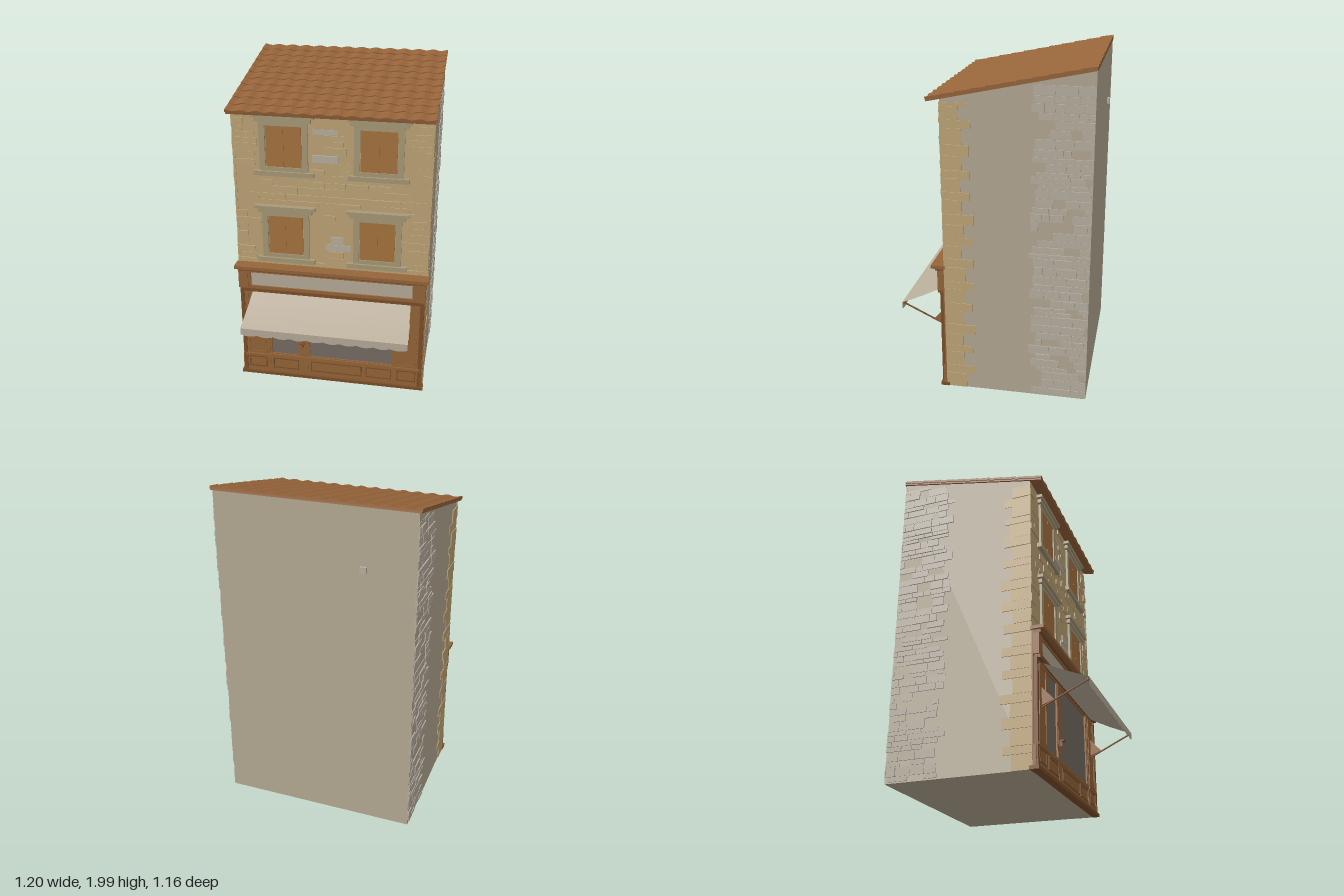
import * as THREE from 'three';
import { mergeGeometries } from 'three/addons/utils/BufferGeometryUtils.js';

const material = (name, color, side = THREE.FrontSide) => {
  const m = new THREE.MeshStandardMaterial({ color, side });
  m.name = name;
  return m;
};

// Small seeded generator for the irregular stonework
let seed = 7;
const rand = (a = 0, b = 1) => {
  seed = (seed * 16807) % 2147483647;
  return a + (b - a) * seed / 2147483647;
};

const boxGeo = (x0, x1, y0, y1, z0, z1) =>
  new THREE.BoxGeometry(x1 - x0, y1 - y0, z1 - z0)
    .translate((x0 + x1) / 2, (y0 + y1) / 2, (z0 + z1) / 2);

export function createModel() {
  const model = new THREE.Group();
  model.name = 'shopHouse';

  const sand = material('sandStone', 0xbfa678);
  const trim = material('windowStone', 0xa99a78);
  const stucco = material('stucco', 0xb5a994);
  const pale = material('paleStone', 0xb9b0a1);
  const wood = material('shopWood', 0x956539);
  const darkWood = material('darkWood', 0x7c4f2a);
  const shutterWood = material('shutterWood', 0xa8743f);
  const glass = material('glass', 0x776d64);
  const canvas = material('canvas', 0xb9ad9a, THREE.DoubleSide);
  const tile = material('roofTile', 0x96643a);

  const add = (name, geo, mat, parent = model) => {
    const mesh = new THREE.Mesh(geo, mat);
    mesh.name = name;
    parent.add(mesh);
    return mesh;
  };
  const box = (name, mat, ...b) => add(name, boxGeo(...b), mat);
  const frame = (name, mat, x0, x1, y0, y1, t, z0, z1) => add(name, mergeGeometries([
    boxGeo(x0, x0 + t, y0, y1, z0, z1), boxGeo(x1 - t, x1, y0, y1, z0, z1),
    boxGeo(x0 + t, x1 - t, y0, y0 + t, z0, z1), boxGeo(x0 + t, x1 - t, y1 - t, y1, z0, z1)]), mat);

  // House body: side outline with a single pitch, extruded across x
  const slope = 0.212, roofY = z => 1.775 + (0.36 - z) * slope;
  const side = new THREE.Shape();
  side.moveTo(-0.275, 0).lineTo(0.565, 0).lineTo(0.565, roofY(-0.565)).lineTo(-0.275, roofY(0.275));
  const body = new THREE.ExtrudeGeometry(side, { depth: 1.17, bevelEnabled: false })
    .rotateY(Math.PI / 2).translate(-0.585, 0, 0);
  add('body', body, stucco);
  box('frontWall', sand, -0.587, 0.587, 0, roofY(0.281) - 0.002, 0.27, 0.281);

  // Windows on two floors
  const windows = [];
  for (const y of [0.85, 1.415]) for (const x of [-0.28, 0.28]) {
    windows.push([x - 0.15, x + 0.15, y, y + 0.33]);
    frame('windowSurround', trim, x - 0.145, x + 0.145, y, y + 0.32, 0.035, 0.275, 0.295);
    for (const s of [-1, 1]) {
      const c = x + s * 0.053;
      box('shutter', shutterWood, c - 0.0525, c + 0.0525, y + 0.02, y + 0.285, 0.275, 0.289);
    }
    box('sill', trim, x - 0.18, x + 0.18, y - 0.018, y + 0.01, 0.275, 0.308);
    box('lintelLower', trim, x - 0.165, x + 0.165, y + 0.31, y + 0.335, 0.275, 0.304);
    box('lintelUpper', trim, x - 0.185, x + 0.185, y + 0.335, y + 0.355, 0.275, 0.316);
  }

  // Front masonry: irregular courses that stop at the windows
  const frontStones = [], greyStones = [];
  for (let y = 0.81; y < 1.75;) {
    const h = Math.min(rand(0.03, 0.055), 1.775 - y);
    for (let x = -0.59; x < 0.588;) {
      const x1 = Math.min(0.59, x + rand(0.06, 0.17));
      const blocked = windows.some(w => x < w[1] && x1 > w[0] && y < w[3] && y + h > w[2]);
      const middle = Math.abs((x + x1) / 2) < 0.11 && ((y > 0.86 && y < 1.2) || (y > 1.42 && y < 1.66));
      if (!blocked && rand() > 0.25) {
        const g = boxGeo(x + 0.002, x1 - 0.002, y + rand(0.001, 0.004), y + h - 0.002, 0.272, rand(0.283, 0.29));
        (middle && rand() < 0.35 ? greyStones : frontStones).push(g);
      }
      x = x1;
    }
    y += h;
  }
  add('frontStones', mergeGeometries(frontStones), sand);
  add('greyFrontStones', mergeGeometries(greyStones), pale);

  // Toothed corner stones at the front and rough masonry at the back of both sides
  const quoins = [], roughStones = [];
  for (const s of [-1, 1]) {
    const slab = (y0, y1, z0, z1, t) => boxGeo(s > 0 ? 0.575 : -t, s > 0 ? t : -0.575, y0, y1, z0, z1);
    for (let y = 0, i = 0; y < 1.76; i++) {
      const y1 = Math.min(1.775, y + (i % 2 ? 0.055 : 0.085) + rand(-0.01, 0.01));
      quoins.push(slab(y, y1 - 0.002, i % 2 ? rand(0.1, 0.125) : rand(0.155, 0.18), 0.285, rand(0.588, 0.592)));
      y = y1;
    }
    for (let y = 0.005; y < 1.94;) {
      const h = rand(0.025, 0.06);
      const start = rand(-0.27, -0.215);
      for (let z = start; z > -0.56;) {
        const z0 = Math.max(-0.568, z - rand(0.04, 0.13));
        if (rand() > 0.18 && y + h < roofY(z) - 0.005)
          roughStones.push(slab(y + 0.003, y + h - 0.002, z0 + 0.003, z, rand(0.587, 0.593)));
        z = z0;
      }
      y += h;
    }
  }
  add('cornerStones', mergeGeometries(quoins), sand);
  add('sideStones', mergeGeometries(roughStones), pale);

  // Small chipped stone on the back wall
  box('backStone', pale, -0.31, -0.27, 1.61, 1.645, -0.58, -0.56);

  // Roof: sloping deck with overlapping rows of wavy tiles
  const angle = Math.atan(slope);
  const roof = new THREE.Group();
  roof.name = 'roof';
  roof.position.set(0, 1.775, 0.355);
  roof.rotation.x = angle;
  model.add(roof);
  const length = 0.925 / Math.cos(angle);
  add('roofDeck', boxGeo(-0.595, 0.595, 0, 0.012, -length, 0), tile, roof);
  const rows = 11, pitch = length / rows;
  for (let r = 0; r < rows; r++) {
    const wave = new THREE.Shape();
    wave.moveTo(-0.6, 0);
    wave.lineTo(0.6, 0);
    for (let i = 78; i >= 0; i--)
      wave.lineTo(-0.6 + 1.2 * i / 78, 0.011 + 0.0045 * Math.cos(i / 6 * Math.PI * 2 + (r % 2) * 0.5));
    const geo = new THREE.ExtrudeGeometry(wave, { depth: pitch, bevelEnabled: false }).translate(0, 0, -pitch);
    const row = add('tileRow', geo, tile, roof);
    row.position.set(0, 0.012, -r * pitch);
    row.rotation.x = -0.05;
  }

  // Shopfront carcass, plinth and mouldings
  box('shopBack', wood, -0.588, 0.588, 0.01, 0.79, 0.27, 0.293);
  box('plinth', darkWood, -0.595, 0.595, 0, 0.02, 0.27, 0.322);
  box('bulkhead', wood, -0.588, 0.588, 0.02, 0.135, 0.28, 0.306);
  box('bulkheadRail', wood, -0.41, 0.41, 0.135, 0.155, 0.28, 0.314);
  box('fascia', wood, -0.575, 0.575, 0.64, 0.78, 0.28, 0.312);
  frame('fasciaFrame', wood, -0.525, 0.525, 0.642, 0.77, 0.018, 0.3, 0.322);
  box('signPanel', canvas, -0.505, 0.505, 0.662, 0.75, 0.305, 0.316);
  box('corniceLower', darkWood, -0.585, 0.585, 0.768, 0.786, 0.28, 0.338);
  box('corniceUpper', wood, -0.6, 0.6, 0.786, 0.806, 0.28, 0.36);
  box('middleMoulding', darkWood, -0.575, 0.575, 0.622, 0.642, 0.28, 0.33);

  // Pilasters with raised panels
  for (const s of [-1, 1]) {
    const x = s * 0.485;
    box('pilaster', wood, x - 0.08, x + 0.08, 0.02, 0.63, 0.28, 0.31);
    box('pilasterEdge', darkWood, s * 0.568 - 0.012, s * 0.568 + 0.012, 0.02, 0.63, 0.28, 0.314);
    frame('pilasterPanel', wood, x - 0.06, x + 0.06, 0.16, 0.6, 0.012, 0.3, 0.314);
    frame('pilasterBasePanel', darkWood, x - 0.06, x + 0.06, 0.05, 0.13, 0.008, 0.3, 0.313);
    box('pilasterRail', wood, x - 0.085, x + 0.085, 0.135, 0.152, 0.28, 0.318);
    box('fasciaBlock', wood, s * 0.555 - 0.03, s * 0.555 + 0.03, 0.642, 0.77, 0.28, 0.327);
  }

  // Door, display window and lower panels
  box('doorGlass', glass, -0.388, -0.215, 0.155, 0.61, 0.285, 0.297);
  box('windowGlass', glass, -0.14, 0.388, 0.155, 0.61, 0.285, 0.297);
  frame('doorFrame', wood, -0.405, -0.2, 0.145, 0.625, 0.016, 0.285, 0.306);
  frame('displayFrame', wood, -0.157, 0.405, 0.145, 0.625, 0.016, 0.285, 0.306);
  box('doorPost', wood, -0.205, -0.15, 0.02, 0.625, 0.285, 0.308);
  for (const [x0, x1] of [[-0.385, -0.215], [-0.135, 0.2], [0.225, 0.39]])
    frame('lowerPanel', darkWood, x0, x1, 0.05, 0.125, 0.007, 0.3, 0.31);
  box('doorHandle', darkWood, -0.187, -0.178, 0.235, 0.275, 0.3, 0.325);
  box('doorLever', darkWood, -0.2, -0.17, 0.263, 0.271, 0.32, 0.34);

  // Awning: sloping cloth flaring slightly, with a scalloped front edge
  const cloth = new THREE.PlaneGeometry(1, 1, 12, 4);
  const p = cloth.attributes.position;
  for (let i = 0; i < p.count; i++) {
    const t = 0.5 - p.getY(i);
    p.setXYZ(i, p.getX(i) * (0.995 + 0.025 * t), 0.625 - 0.125 * t - 0.006 * Math.sin(Math.PI * t), 0.31 + 0.268 * t);
  }
  cloth.computeVertexNormals();
  add('awningCloth', cloth, canvas);
  const valance = new THREE.Shape();
  valance.moveTo(0.508, 0.5);
  valance.lineTo(-0.508, 0.5);
  for (let i = 0; i <= 80; i++)
    valance.lineTo(-0.508 + 1.016 * i / 80, 0.458 - 0.01 * Math.abs(Math.sin(i / 8 * Math.PI)));
  add('awningValance', new THREE.ShapeGeometry(valance).translate(0, 0, 0.578), canvas);

  // Awning arms and wall brackets
  for (const s of [-1, 1]) {
    const x = s * 0.492;
    const arm = new THREE.LineCurve3(new THREE.Vector3(x, 0.365, 0.31), new THREE.Vector3(x, 0.492, 0.574));
    add('awningArm', new THREE.TubeGeometry(arm, 1, 0.005, 6), darkWood);
    const gusset = new THREE.Shape();
    gusset.moveTo(-0.3, 0.37).lineTo(-0.38, 0.4).lineTo(-0.3, 0.49);
    add('awningBracket', new THREE.ExtrudeGeometry(gusset, { depth: 0.014, bevelEnabled: false })
      .rotateY(Math.PI / 2).translate(x - 0.007, 0, 0), wood);
  }
  box('awningBar', darkWood, -0.5, 0.5, 0.488, 0.496, 0.566, 0.574);
  return model;
}
